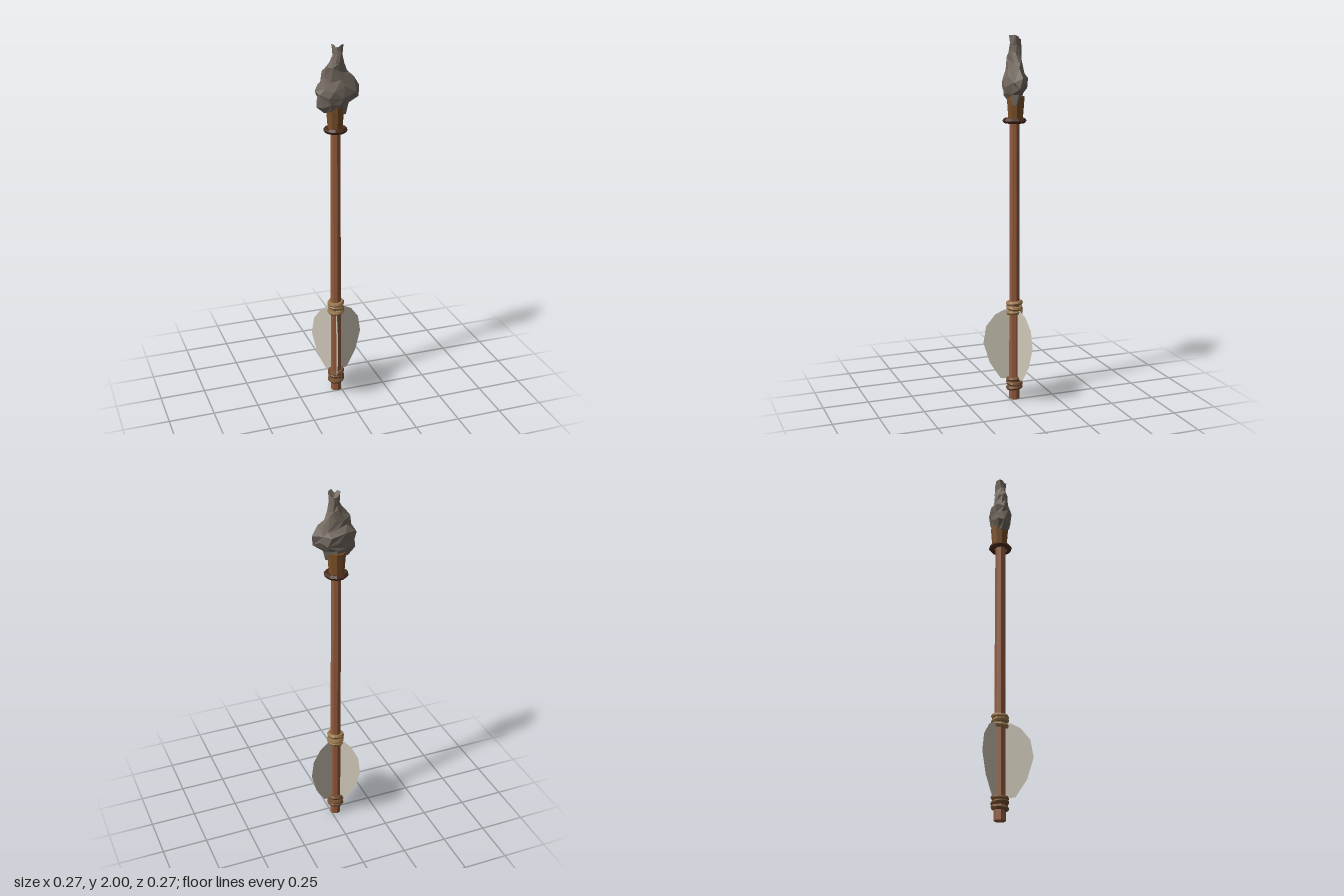
import * as THREE from 'three';

const AXIS_X = -0.026, AXIS_Z = -0.031; // the shaft sits slightly off centre

const mat = (name, color, extra = {}) =>
  Object.assign(new THREE.MeshStandardMaterial({ color, ...extra }), { name });

// Faceted mesh: every face keeps its own normal
function faceted(name, geometry, material) {
  const geo = geometry.index ? geometry.toNonIndexed() : geometry;
  geo.computeVertexNormals();
  const mesh = new THREE.Mesh(geo, material);
  mesh.name = name;
  return mesh;
}

function seeded(seed) {
  return () => {
    seed = (seed * 16807) % 2147483647;
    return seed / 2147483647;
  };
}

// Chipped stone point lofted from irregular rings: [y, xMin, xMax, zMin, zMax]
function stoneGeometry() {
  const rings = [
    [1.66, -0.03, -0.02, -0.035, -0.03],
    [1.645, -0.09, 0.03, -0.06, 0.005],
    [1.69, -0.13, 0.045, -0.08, 0.025],
    [1.735, -0.125, 0.098, -0.085, 0.03],
    [1.775, -0.138, 0.103, -0.092, 0.034],
    [1.82, -0.108, 0.072, -0.07, 0.012],
    [1.87, -0.1, 0.04, -0.068, 0.006],
    [1.91, -0.058, 0.02, -0.064, 0.006],
    [1.95, -0.04, 0.012, -0.062, 0.004],
    [1.995, -0.046, 0.016, -0.066, 0.006],
    [1.97, -0.02, -0.012, -0.035, -0.028],
  ];
  const sides = 10, rand = seeded(71), pos = [], index = [];
  rings.forEach(([y, x0, x1, z0, z1], i) => {
    const end = i === 0 || i === rings.length - 1;
    for (let j = 0; j < sides; j++) {
      const a = ((j + (i % 2) * 0.35) / sides) * Math.PI * 2;
      const chip = j % 5 === 0 ? 1 : 0.72 + 0.36 * rand();
      const dy = end ? 0 : (rand() - 0.5) * 0.04;
      pos.push(
        (x0 + x1) / 2 + Math.cos(a) * chip * (x1 - x0) / 2,
        Math.min(2, y + dy),
        (z0 + z1) / 2 + Math.sin(a) * Math.min(1, chip * 1.1) * (z1 - z0) / 2);
    }
  });
  for (let i = 0; i < rings.length - 1; i++) {
    for (let j = 0; j < sides; j++) {
      const k = (j + 1) % sides;
      const a = i * sides + j, b = i * sides + k, c = b + sides, d = a + sides;
      if ((i + j) % 2) index.push(a, d, c, a, c, b);
      else index.push(a, d, b, b, d, c);
    }
  }
  const geo = new THREE.BufferGeometry();
  geo.setAttribute('position', new THREE.Float32BufferAttribute(pos, 3));
  geo.setIndex(index);
  return geo;
}

// Half-leaf vane running outward from the shaft
function vaneGeometry(reach) {
  const outline = [[0, 0.115], [0.45, 0.118], [0.8, 0.21], [1, 0.325],
    [0.91, 0.42], [0.62, 0.485], [0.33, 0.512], [0, 0.52]];
  return new THREE.ShapeGeometry(
    new THREE.Shape(outline.map(([r, y]) => new THREE.Vector2(r * reach, y))));
}

export function createModel() {
  const wood = mat('shaft wood', 0x935b3d);
  const socketWood = mat('socket wood', 0x7a5029);
  const collarBrown = mat('dark collar', 0x4c2d1f);
  const stone = mat('stone', 0x756b61);
  const rope = mat('light rope', 0x99774d);
  const darkRope = mat('dark rope', 0x755033);
  const feather = mat('feather', 0xcfc8b8, { side: THREE.DoubleSide });

  const model = new THREE.Group();
  model.name = 'arrow';
  const onAxis = new THREE.Group();
  onAxis.name = 'shaftAssembly';
  onAxis.position.set(AXIS_X, 0, AXIS_Z);
  model.add(onAxis);

  // Shaft
  const shaft = faceted('shaft', new THREE.CylinderGeometry(0.028, 0.031, 1.6, 8), wood);
  shaft.position.y = 0.8;
  onAxis.add(shaft);

  // Flared socket holding the head
  const socket = faceted('socket', new THREE.CylinderGeometry(0.049, 0.039, 0.13, 9), socketWood);
  socket.position.set(0, 1.615, -0.005);
  onAxis.add(socket);

  // Collar below the socket
  const collar = faceted('collar', new THREE.TorusGeometry(0.051, 0.014, 5, 10), collarBrown);
  collar.rotation.x = Math.PI / 2;
  collar.position.y = 1.552;
  onAxis.add(collar);

  // Rope bindings, three slightly tilted turns each
  for (const [name, base, material] of [['lowerBinding', 0.066, darkRope], ['upperBinding', 0.5, rope]]) {
    const binding = new THREE.Group();
    binding.name = name;
    for (let i = 0; i < 3; i++) {
      const turn = faceted('ropeTurn', new THREE.TorusGeometry(0.035, 0.013, 6, 12), material);
      turn.rotation.set(Math.PI / 2 + [0.1, -0.08, 0.06][i], [0.08, -0.12, 0.1][i], 0);
      turn.position.y = base + i * 0.025;
      binding.add(turn);
    }
    onAxis.add(binding);
  }

  // Three feathers, evenly spread around the shaft
  for (const [degrees, reach] of [[345, 0.167], [105, 0.172], [225, 0.152]]) {
    const vane = new THREE.Mesh(vaneGeometry(reach), feather);
    vane.name = 'feather';
    vane.rotation.y = -THREE.MathUtils.degToRad(degrees);
    onAxis.add(vane);
  }

  // Stone head
  model.add(faceted('stoneHead', stoneGeometry(), stone));
  return model;
}
